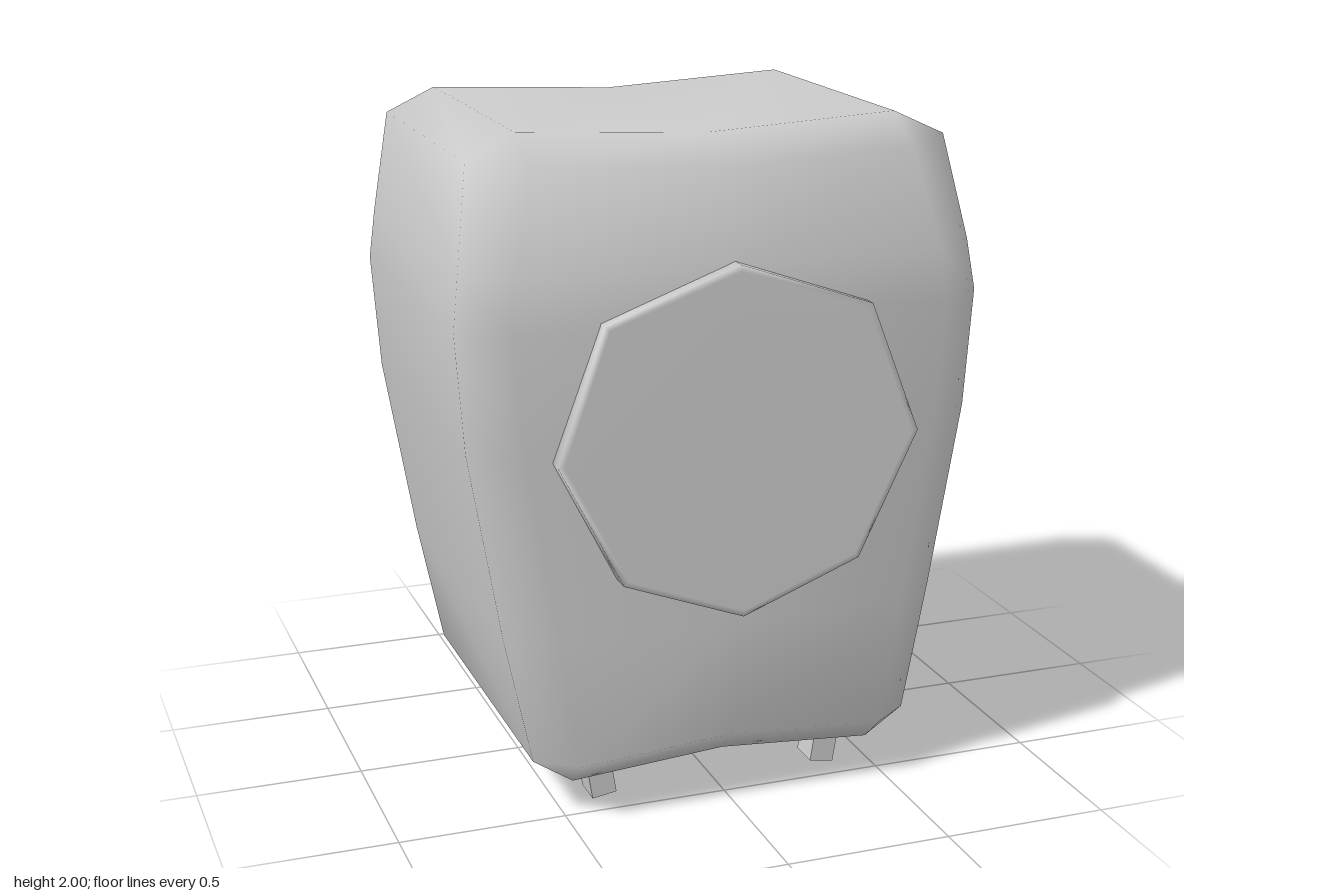
import * as THREE from 'three';
import { mergeVertices } from 'three/addons/utils/BufferGeometryUtils.js';

const material = new THREE.MeshStandardMaterial({ color: 0xcccccc });
const mirror = ([x, y, z]) => [-x, y, z];

// Skin between half outlines (bottom centre, up the +x side, to top centre) ordered
// back to front, mirror them, close both ends and smooth the result
function loft(halves) {
  const soup = [];
  const quad = (a, b, c, d) => soup.push(...a, ...b, ...c, ...a, ...c, ...d);
  const loops = halves.map((half) => [...half, ...half.slice(1, -1).reverse().map(mirror)]);
  for (let l = 0; l < loops.length - 1; l++) {
    const a = loops[l], b = loops[l + 1], n = a.length;
    for (let i = 0; i < n; i++) {
      const j = (i + 1) % n;
      quad(a[i], a[j], b[j], b[i]);
    }
  }
  // End caps: rows joined to a centre column, which stays between the arched ends
  const cap = (half, front) => {
    const low = half[0][1], high = half[half.length - 1][1];
    const centre = ([, y, z]) => [0, Math.min(Math.max(y, low), high), z];
    for (let k = 0; k < half.length - 1; k++) {
      const r = half[k], s = half[k + 1], c = centre(r), d = centre(s);
      if (front) {
        quad(c, r, s, d);
        quad(mirror(r), c, d, mirror(s));
      } else {
        quad(c, d, s, r);
        quad(mirror(r), mirror(s), d, c);
      }
    }
  };
  cap(halves[0], false);
  cap(halves[halves.length - 1], true);
  const soupGeometry = new THREE.BufferGeometry();
  soupGeometry.setAttribute('position', new THREE.Float32BufferAttribute(soup, 3));
  const geometry = mergeVertices(soupGeometry, 1e-4);
  geometry.computeVertexNormals();
  return geometry;
}

// Cabinet: bulging outline, arched top and bottom, bevelled front and back edges
function createCabinet() {
  const outer = [
    [0, 0.135, 0.48], [0.47, 0.1, 0.48], [0.59, 0.18, 0.48], [0.67, 0.57, 0.47], [0.765, 1.13, 0.47],
    [0.79, 1.48, 0.47], [0.77, 1.63, 0.45], [0.72, 1.93, 0.37], [0.57, 2, 0.35], [0, 1.97, 0.35],
  ];
  const inner = [
    [0, 0.22, 0.575], [0.47, 0.185, 0.575], [0.47, 0.185, 0.575], [0.53, 0.57, 0.575], [0.62, 1.13, 0.575],
    [0.65, 1.48, 0.575], [0.635, 1.63, 0.557], [0.57, 1.92, 0.48], [0.57, 1.92, 0.48], [0, 1.89, 0.48],
  ];
  const at = (half, z) => half.map(([x, y]) => [x, y, z]);
  const mesh = new THREE.Mesh(loft([at(inner, -0.645), at(outer, -0.56), outer, inner]), material);
  mesh.name = 'cabinet';
  return mesh;
}

// Eight-sided door leaning back slightly, with a softened rim
function createDoor() {
  const rim = [[0, 0.615], [0.36, 0.75], [0.545, 1.115], [0.4, 1.5], [0, 1.64]];
  const ring = (scale, offset) => rim.map(([x, rimY]) => {
    const y = 1.125 + (rimY - 1.125) * scale;
    return [x * scale, y, 0.645 - (y - 0.615) * 0.04 + offset];
  });
  const mesh = new THREE.Mesh(loft([ring(1, -0.13), ring(1, -0.002), ring(0.965, 0)]), material);
  mesh.name = 'door';
  return mesh;
}

export function createModel() {
  const model = new THREE.Group();
  model.name = 'washingMachine';
  model.add(createCabinet(), createDoor());

  // Four stubby feet leaning inwards towards the floor
  const footGeometry = new THREE.BoxGeometry(0.076, 0.16, 0.1);
  for (const side of [1, -1]) {
    for (const [end, z] of [['front', 0.37], ['back', -0.42]]) {
      const foot = new THREE.Mesh(footGeometry, material);
      foot.position.set(side * 0.365, 0.086, z);
      foot.rotation.z = -side * 0.16;
      foot.name = `${end}${side > 0 ? 'Left' : 'Right'}Foot`;
      model.add(foot);
    }
  }
  return model;
}
